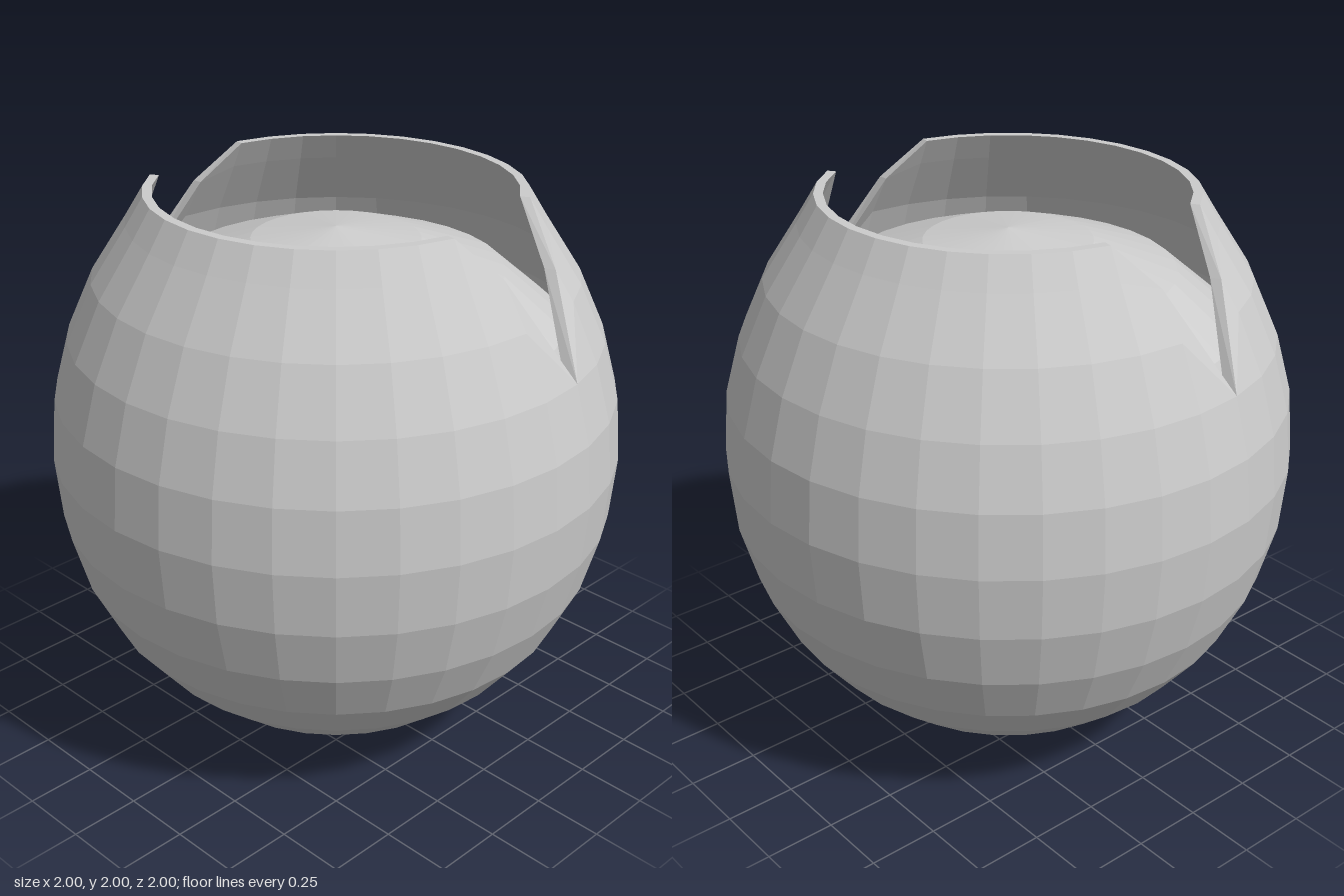
import * as THREE from 'three';

const SIDES = 32;
// Outer profile of the shell, bottom to top: [radius, y]
const PROFILE = [
  [0, 0], [0.195, 0.025], [0.383, 0.085], [0.556, 0.17], [0.707, 0.3], [0.831, 0.455],
  [0.924, 0.645], [0.981, 0.855], [1, 1.08], [0.981, 1.3], [0.924, 1.505], [0.831, 1.71],
  [0.707, 1.9], [0.645, 2],
];
// Rim height of the columns inside a notch; all others reach y = 2
const NOTCH = { 0: 1.86, 1: 1.505, 2: 1.81 };

// Radius of the profile at a height
function radiusAt(y) {
  for (let i = 1; i < PROFILE.length; i++) {
    const [r0, y0] = PROFILE[i - 1], [r1, y1] = PROFILE[i];
    if (y <= y1) return r0 + (r1 - r0) * (y - y0) / (y1 - y0);
  }
  return PROFILE[PROFILE.length - 1][0];
}

// Thin-walled cup: outer wall up, over the rim, inner wall down
function shellGeometry() {
  const outer = PROFILE.map(([, y]) => ({ y, inner: false }));
  const inner = PROFILE.map(([, y]) => ({ y, inner: true })).reverse();
  const rows = [...outer, ...inner];
  const positions = [], index = [];
  for (const row of rows) {
    for (let k = 0; k < SIDES; k++) {
      const y = Math.min(row.y, NOTCH[k % (SIDES / 2)] ?? 2); // one notch in front, one behind
      const r = radiusAt(y) * (row.inner ? 0.95 : 1);
      const h = row.inner && y < 1.08 ? 1.08 + (y - 1.08) * 0.96 : y;
      const a = k / SIDES * Math.PI * 2;
      positions.push(r * Math.sin(a), h, r * Math.cos(a));
    }
  }
  for (let i = 0; i < rows.length - 1; i++) {
    for (let k = 0; k < SIDES; k++) {
      const n = (k + 1) % SIDES;
      const a = i * SIDES + k, b = i * SIDES + n, c = b + SIDES, d = a + SIDES;
      index.push(a, b, c, a, c, d);
    }
  }
  const geometry = new THREE.BufferGeometry();
  geometry.setAttribute('position', new THREE.Float32BufferAttribute(positions, 3));
  geometry.setIndex(index);
  geometry.computeVertexNormals();
  return geometry;
}

export function createModel() {
  const group = new THREE.Group();
  const material = new THREE.MeshStandardMaterial({ color: 0xcccccc, flatShading: true });

  // Notched outer shell
  const shell = new THREE.Mesh(shellGeometry(), material);
  shell.name = 'notchedShell';
  group.add(shell);

  // Flattened ball resting inside the shell
  const upper = [[0.935, 1.06], [0.91, 1.31], [0.785, 1.54], [0.575, 1.72], [0.29, 1.82], [0, 1.86]];
  const lower = upper.slice(1).reverse().map(([r, y]) => [r, 2.12 - y]);
  const points = [...lower, ...upper].map(([r, y]) => new THREE.Vector2(r, y));
  const ball = new THREE.Mesh(new THREE.LatheGeometry(points, SIDES), material);
  ball.name = 'innerBall';
  group.add(ball);

  return group;
}
